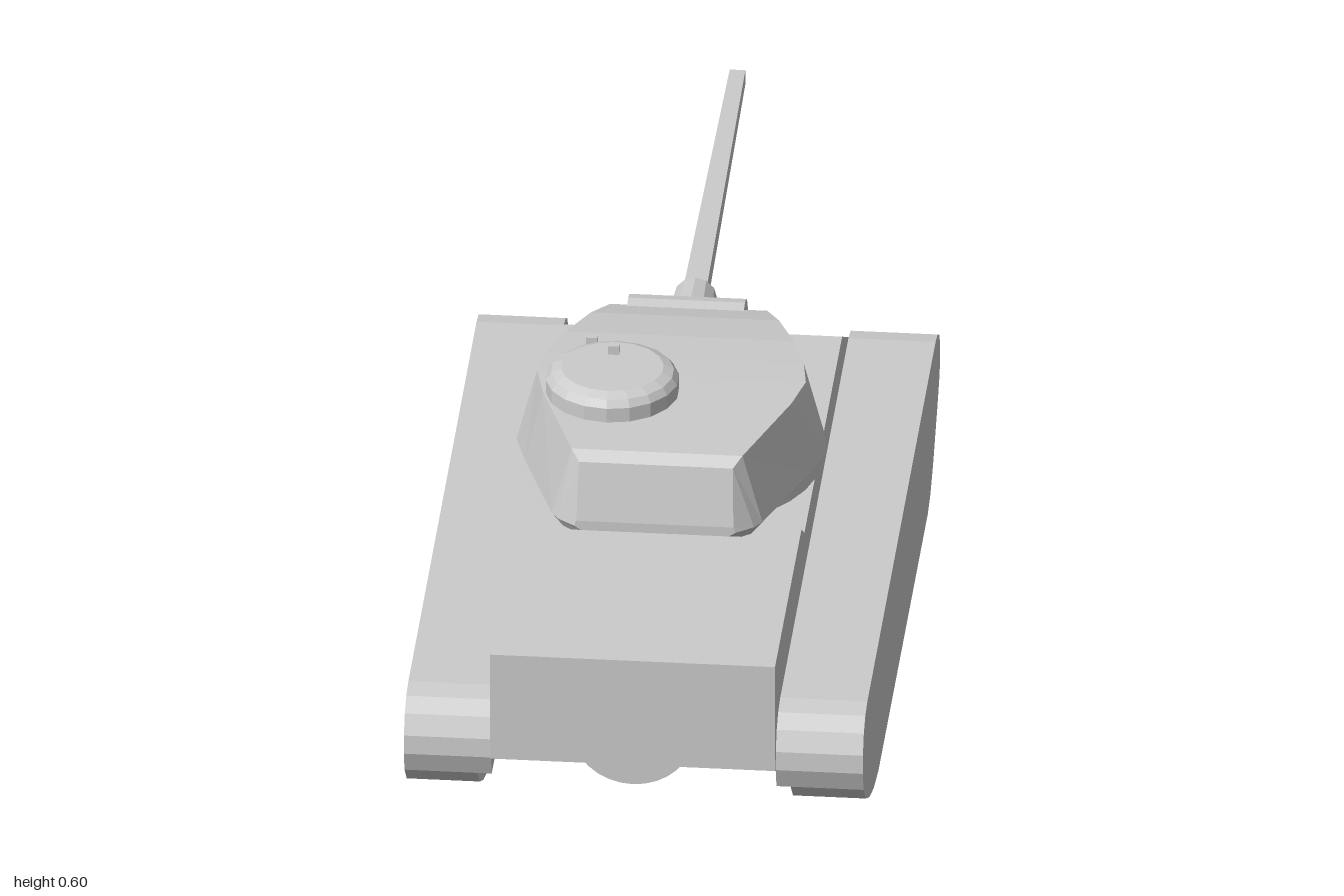
import * as THREE from 'three';

const material = new THREE.MeshStandardMaterial({ color: 0xcccccc, flatShading: true });

export function createModel() {
  const group = new THREE.Group();

  function add(name, geometry, x = 0, y = 0, z = 0) {
    const mesh = new THREE.Mesh(geometry, material);
    mesh.name = name;
    mesh.position.set(x, y, z);
    group.add(mesh);
    return mesh;
  }

  // Side profile of [z, y] points, extruded across x from x0 to x1
  function slab(profile, x0, x1) {
    const shape = new THREE.Shape(profile.map(([z, y]) => new THREE.Vector2(-z, y)));
    const geometry = new THREE.ExtrudeGeometry(shape, { depth: x1 - x0, bevelEnabled: false });
    return geometry.rotateY(Math.PI / 2).translate(x0, 0, 0);
  }

  // Closed skin through rings of equal point count, ordered from +z to -z
  function loft(rings) {
    const n = rings[0].length;
    const last = (rings.length - 1) * n;
    const index = [];
    for (let i = 0; i < rings.length - 1; i++) {
      for (let j = 0; j < n; j++) {
        const a = i * n + j, b = i * n + (j + 1) % n;
        index.push(a, a + n, b, b, a + n, b + n);
      }
    }
    for (let j = 1; j < n - 1; j++) {
      index.push(0, j, j + 1, last, last + j + 1, last + j);
    }
    const geometry = new THREE.BufferGeometry();
    geometry.setAttribute('position', new THREE.Float32BufferAttribute(rings.flat(2), 3));
    geometry.setIndex(index);
    const flat = geometry.toNonIndexed();
    flat.computeVertexNormals();
    return flat;
  }

  // Hull with raised engine deck, sloped nose and undercut tail
  add('hull', slab([
    [1, 0.16], [1, 0.367], [0.495, 0.367], [0.44, 0.33], [-0.28, 0.33],
    [-0.497, 0.21], [-0.497, 0.2], [-0.37, 0.115], [0.9, 0.115],
  ], -0.25, 0.25));

  // Round transmission bulge under the tail
  add('tailBulge', new THREE.CylinderGeometry(0.11, 0.11, 0.12, 32).rotateX(Math.PI / 2), 0, 0.231, 0.939);

  // Tracks, with a narrow sponson joining each one to the hull
  const upperRun = [
    [0.972, 0.115], [0.987, 0.155], [0.985, 0.19], [0.968, 0.225], [0.94, 0.245], [0.9, 0.252],
    [-0.4, 0.262], [-0.44, 0.255], [-0.47, 0.238], [-0.488, 0.21], [-0.488, 0.18],
    [-0.47, 0.15], [-0.435, 0.115],
  ];
  const lowerRun = [
    [-0.35, 0.042], [-0.3, 0.012], [-0.25, 0], [0.69, 0], [0.78, 0.014], [0.86, 0.04], [0.93, 0.075],
  ];
  for (const [side, s] of [['left', 1], ['right', -1]]) {
    const span = (a, b) => (s > 0 ? [a, b] : [-b, -a]);
    add(side + 'Track', slab([...upperRun, ...lowerRun], ...span(0.275, 0.403)));
    add(side + 'Sponson', slab(upperRun, ...span(0.25, 0.275)));
  }

  // Turret ring
  add('turretRing', new THREE.CylinderGeometry(0.257, 0.257, 0.055, 32), 0, 0.3525, 0.185);

  // Turret: z, then half width and height at the belly, the widest line and the roof
  const sections = [
    [0.578, 0.13, 0.392, 0.142, 0.4, 0.138, 0.41],
    [0.555, 0.15, 0.38, 0.172, 0.4, 0.135, 0.515],
    [0.535, 0.165, 0.376, 0.185, 0.4, 0.15, 0.53],
    [0.34, 0.228, 0.368, 0.25, 0.396, 0.218, 0.532],
    [0.26, 0.245, 0.364, 0.272, 0.394, 0.236, 0.532],
    [0.19, 0.235, 0.361, 0.262, 0.395, 0.226, 0.53],
    [0.1, 0.21, 0.36, 0.233, 0.397, 0.2, 0.525],
    [0, 0.175, 0.362, 0.195, 0.4, 0.165, 0.51],
    [-0.07, 0.145, 0.37, 0.165, 0.402, 0.138, 0.49],
    [-0.11, 0.125, 0.38, 0.148, 0.405, 0.122, 0.465],
    [-0.13, 0.1, 0.393, 0.12, 0.41, 0.105, 0.44],
  ];
  add('turret', loft(sections.map(([z, wb, yb, wm, ym, wt, yt]) => [
    [wb, yb, z], [wm, ym, z], [wt, yt, z], [-wt, yt, z], [-wm, ym, z], [-wb, yb, z],
  ])));

  // Mantlet, collar and tapered square barrel
  add('mantlet', new THREE.CylinderGeometry(0.057, 0.057, 0.205, 16).rotateZ(Math.PI / 2), -0.005, 0.44, -0.083);
  add('gunCollar', new THREE.CylinderGeometry(0.038, 0.044, 0.1, 12).rotateX(-Math.PI / 2), 0, 0.442, -0.147);
  add('barrel', new THREE.CylinderGeometry(0.0195, 0.029, 0.83, 4)
    .rotateY(Math.PI / 4).rotateX(-Math.PI / 2), 0, 0.444, -0.585);

  // Commander's cupola
  const cupola = [[0, 0.5], [0.117, 0.5], [0.117, 0.558], [0.108, 0.571], [0.09, 0.579], [0, 0.579]];
  add('cupola', new THREE.LatheGeometry(cupola.map(([r, y]) => new THREE.Vector2(r, y)), 18), -0.098, 0, 0.32);

  // Small periscopes on cupola, roof and front deck
  add('cupolaPeriscope', new THREE.BoxGeometry(0.02, 0.025, 0.014), -0.1, 0.583, 0.27);
  add('roofPeriscope', new THREE.BoxGeometry(0.02, 0.03, 0.012), -0.15, 0.527, 0.146);
  add('driverPeriscope', new THREE.BoxGeometry(0.026, 0.045, 0.012), -0.155, 0.345, -0.24);

  return group;
}
